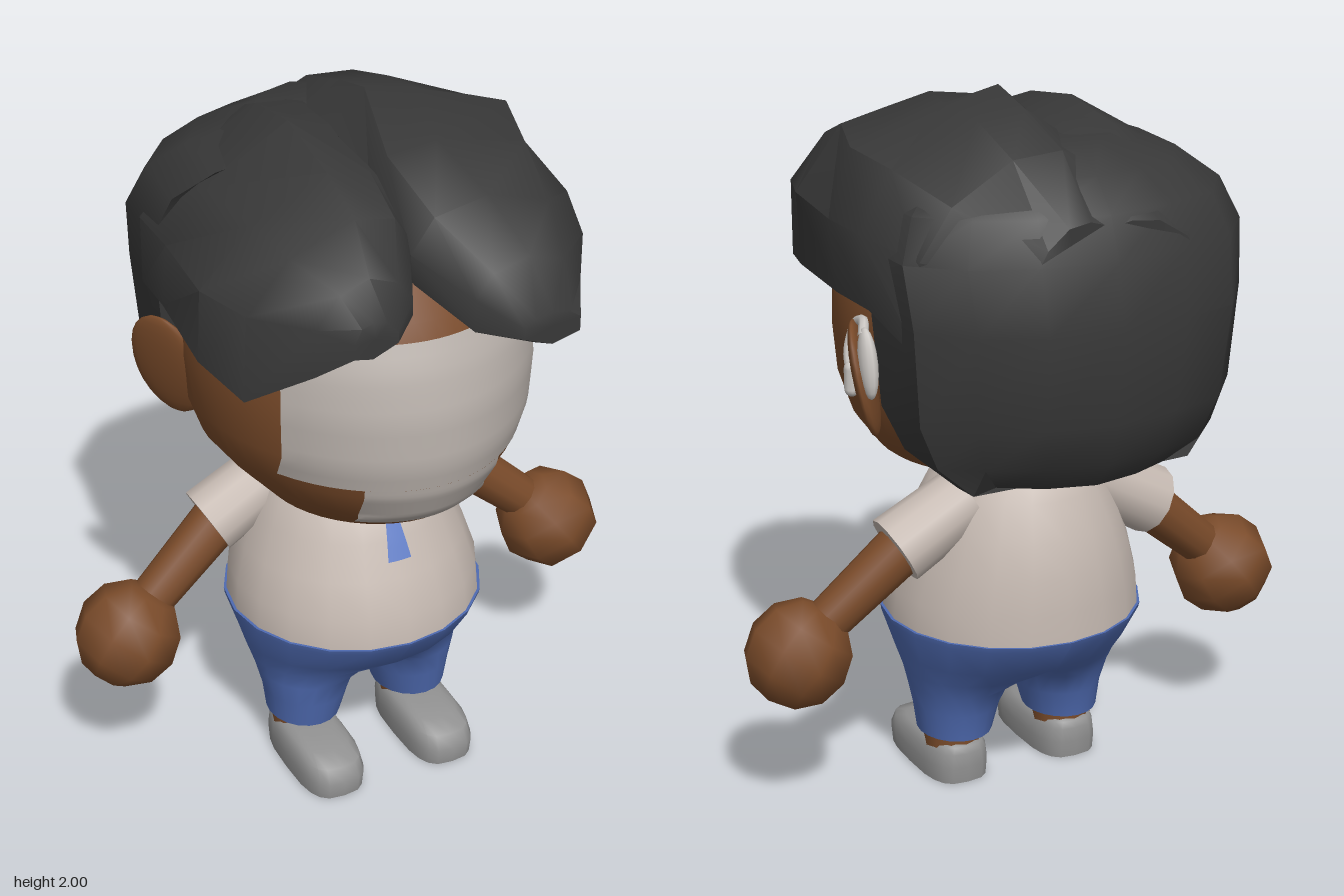
import * as THREE from 'three';
import { toCreasedNormals } from 'three/addons/utils/BufferGeometryUtils.js';

const mat = (name, color) => Object.assign(new THREE.MeshStandardMaterial({ color }), { name });
const V = (x, y, z) => new THREE.Vector3(x, y, z);

// Closed solid through rings of equal point count; turned outward by its volume
function loft(rings, crease = 0.9) {
  const n = rings[0].length, pos = [], idx = [];
  rings.forEach(r => r.forEach(p => pos.push(p.x, p.y, p.z)));
  const P = i => V(pos[3 * i], pos[3 * i + 1], pos[3 * i + 2]);
  for (let j = 0; j < rings.length - 1; j++) {
    for (let i = 0; i < n; i++) {
      const a = j * n + i, b = j * n + (i + 1) % n;
      idx.push(a, b, b + n, a, b + n, a + n);
    }
  }
  [0, rings.length - 1].forEach((j, end) => {
    const c = rings[j].reduce((s, p) => s.add(p), V(0, 0, 0)).divideScalar(n);
    const k = pos.length / 3;
    pos.push(c.x, c.y, c.z);
    for (let i = 0; i < n; i++) {
      const a = j * n + i, b = j * n + (i + 1) % n;
      if (end) idx.push(a, b, k); else idx.push(b, a, k);
    }
  });
  let volume = 0;
  for (let i = 0; i < idx.length; i += 3) {
    volume += P(idx[i]).dot(P(idx[i + 1]).cross(P(idx[i + 2])));
  }
  if (volume < 0) idx.reverse();
  const g = new THREE.BufferGeometry();
  g.setAttribute('position', new THREE.Float32BufferAttribute(pos, 3));
  g.setIndex(idx);
  return toCreasedNormals(g, crease);
}

// Rounded horizontal ring from a row [y, half width, front z, back z, centre x]
function ring([y, rx, zf, zb, cx = 0], n, power = 2, zc = (zf + zb) / 2) {
  return Array.from({ length: n }, (_, i) => {
    const t = i / n * Math.PI * 2, c = Math.cos(t), s = Math.sin(t);
    const f = v => Math.sign(v) * Math.abs(v) ** (2 / power);
    return V(cx + rx * f(c), y, zc + (s > 0 ? zf - zc : zc - zb) * f(s));
  });
}
const stack = (rows, n, power) => loft(rows.map(r => ring(r, n, power)));

// Row at any height, and front depth of the surface at (x, y)
function rowAt(rows, y) {
  const i = Math.max(1, rows.findIndex(r => r[0] >= y));
  const a = rows[i - 1], b = rows[i], t = (y - a[0]) / (b[0] - a[0]);
  return a.map((v, k) => v + (b[k] - v) * t);
}
function frontZ(rows, x, y, power, zc) {
  const [, rx, zf, zb] = rowAt(rows, y), c = zc ?? (zf + zb) / 2;
  return c + (zf - c) * Math.max(0, 1 - Math.abs(x / rx) ** power) ** (1 / power);
}
// Thin painted panel hugging a front surface; half width may change with height
function panel(y0, y1, halfWidth, depth, nx = 24, ny = 12) {
  const g = new THREE.PlaneGeometry(1, 1, nx, ny), p = g.attributes.position;
  for (let i = 0; i < p.count; i++) {
    const v = p.getY(i) + 0.5, y = y0 + (y1 - y0) * v;
    const x = p.getX(i) * 2 * halfWidth(v);
    p.setXYZ(i, x, y, depth(x, y) + 0.008);
  }
  g.computeVertexNormals();
  return g;
}
// Tapered limb between two points
function limb(a, b, ra, rb, n = 12) {
  const d = b.clone().sub(a), g = new THREE.CylinderGeometry(rb, ra, d.length(), n);
  g.applyQuaternion(new THREE.Quaternion().setFromUnitVectors(V(0, 1, 0), d.clone().normalize()));
  return g.translate((a.x + b.x) / 2, (a.y + b.y) / 2, (a.z + b.z) / 2);
}

const HEAD = [
  [0.90, 0.12, 0.28, 0.04], [0.92, 0.22, 0.34, -0.08], [0.96, 0.30, 0.42, -0.20],
  [1.02, 0.37, 0.48, -0.34], [1.10, 0.43, 0.52, -0.41], [1.20, 0.465, 0.542, -0.45],
  [1.34, 0.48, 0.54, -0.48], [1.46, 0.48, 0.515, -0.48], [1.58, 0.45, 0.465, -0.45],
  [1.68, 0.38, 0.39, -0.38], [1.76, 0.24, 0.25, -0.24],
];
const SHIRT = [
  [0.516, 0.362, 0.36, -0.36], [0.60, 0.355, 0.352, -0.358], [0.70, 0.325, 0.31, -0.348],
  [0.80, 0.288, 0.265, -0.325], [0.90, 0.24, 0.215, -0.285], [0.95, 0.19, 0.15, -0.26],
  [0.98, 0.12, 0.06, -0.2],
];
// Trouser half rows: y, outer x, middle x, inner x, front z, back z
const TROUSERS = [
  [0.14, 0.275, 0.17, 0.065, 0.14, -0.1], [0.22, 0.285, 0.165, 0.042, 0.158, -0.115],
  [0.29, 0.302, 0.15, 0.015, 0.175, -0.145], [0.34, 0.318, 0.08, 0, 0.205, -0.195],
  [0.40, 0.338, 0, 0, 0.285, -0.28], [0.50, 0.368, 0, 0, 0.36, -0.36], [0.516, 0.37, 0, 0, 0.367, -0.367],
];
// Hair sections: z, then outline from the parting over the top to the outer edge
const LEFT_HAIR = [
  [0.625, [.17, 1.56], [.17, 1.59], [.2, 1.61], [.25, 1.62], [.3, 1.61], [.33, 1.59], [.33, 1.55], [.25, 1.53]],
  [0.55, [.07, 1.57], [.07, 1.66], [.12, 1.72], [.22, 1.75], [.32, 1.72], [.37, 1.65], [.37, 1.52], [.24, 1.5]],
  [0.40, [-.03, 1.66], [-.035, 1.74], [.03, 1.83], [.18, 1.86], [.36, 1.81], [.465, 1.69], [.465, 1.48], [.22, 1.51]],
  [0.20, [-.05, 1.7], [-.05, 1.84], [0, 1.92], [.14, 1.94], [.4, 1.88], [.535, 1.71], [.525, 1.51], [.2, 1.53]],
  [-0.05, [-.05, 1.7], [-.05, 1.9], [.06, 2], [.22, 1.965], [.485, 1.88], [.55, 1.7], [.53, 1.5], [.2, 1.55]],
  [-0.20, [-.05, 1.7], [-.05, 1.89], [.06, 1.965], [.2, 1.95], [.44, 1.85], [.53, 1.69], [.51, 1.49], [.2, 1.55]],
  [-0.40, [-.05, 1.6], [-.05, 1.85], [.06, 1.9], [.2, 1.89], [.37, 1.79], [.46, 1.66], [.46, 1.4], [.2, 1.5]],
  [-0.55, [-.04, 1.6], [-.04, 1.72], [.06, 1.75], [.12, 1.74], [.18, 1.69], [.22, 1.62], [.22, 1.5], [.15, 1.5]],
];
const RIGHT_HAIR = [
  [0.56, [-.15, 1.6], [-.15, 1.63], [-.18, 1.66], [-.22, 1.67], [-.25, 1.66], [-.27, 1.62], [-.27, 1.58], [-.22, 1.57]],
  [0.50, [-.08, 1.63], [-.08, 1.67], [-.12, 1.73], [-.2, 1.76], [-.28, 1.73], [-.345, 1.65], [-.35, 1.52], [-.24, 1.57]],
  [0.36, [-.01, 1.69], [-.02, 1.77], [-.06, 1.83], [-.17, 1.85], [-.35, 1.78], [-.47, 1.65], [-.48, 1.41], [-.24, 1.56]],
  [0.20, [.05, 1.7], [.04, 1.82], [-.05, 1.89], [-.17, 1.91], [-.38, 1.81], [-.525, 1.66], [-.535, 1.46], [-.2, 1.55]],
  [-0.05, [.05, 1.7], [.05, 1.88], [-.06, 1.92], [-.16, 1.95], [-.4, 1.81], [-.51, 1.67], [-.525, 1.5], [-.2, 1.55]],
  [-0.25, [.05, 1.7], [.05, 1.88], [-.06, 1.91], [-.16, 1.92], [-.39, 1.8], [-.5, 1.66], [-.5, 1.47], [-.2, 1.55]],
  [-0.45, [.05, 1.6], [.05, 1.82], [-.06, 1.84], [-.16, 1.83], [-.34, 1.74], [-.43, 1.62], [-.43, 1.4], [-.2, 1.5]],
  [-0.55, [.05, 1.6], [.05, 1.72], [-.06, 1.74], [-.14, 1.73], [-.22, 1.68], [-.27, 1.6], [-.27, 1.5], [-.2, 1.5]],
];
// Back hair rows: y, front edge z, half width, back z
const BACK_HAIR = [
  [1.02, -0.34, 0.33, -0.49], [1.10, -0.21, 0.42, -0.56], [1.22, -0.18, 0.47, -0.595],
  [1.48, -0.17, 0.49, -0.628], [1.65, -0.15, 0.505, -0.59], [1.76, -0.12, 0.46, -0.545],
  [1.84, -0.06, 0.36, -0.47], [1.90, 0, 0.18, -0.38],
];

export function createModel() {
  const model = new THREE.Group();
  model.name = 'child';
  const skin = mat('brown skin', 0x7a4b2a), hair = mat('black hair', 0x383838);
  const cloth = mat('pale shirt', 0xc6bab2), blue = mat('blue trousers', 0x4f6bb2);
  const tieBlue = mat('blue tie', 0x6480c8), grey = mat('grey shoes', 0x929292);
  const face = mat('pale face', 0xbab2ac), plastic = mat('pale plastic', 0xcac6c2);
  face.side = tieBlue.side = THREE.DoubleSide;
  const add = (name, geometry, material) => {
    const m = new THREE.Mesh(geometry, material);
    m.name = name;
    model.add(m);
    return m;
  };

  // Head with the face panel in two pieces
  add('head', loft(HEAD.map(r => ring(r, 48, 1.9, r[0] < 1 ? undefined : 0))), skin);
  const headZ = (x, y) => frontZ(HEAD, x, y, 1.9, y < 1.02 ? undefined : 0);
  add('upperFace', panel(1.13, 1.54, v => 0.37 - 0.015 * Math.abs(v - 0.5), headZ), face);
  add('lowerFace', panel(0.985, 1.13, v => 0.185 + 0.012 * v, headZ), face);

  // Hair: two parted lobes and the back, which is fuller on its right corner
  const lobe = rows => loft(rows.map(([z, ...pts]) => pts.map(([x, y]) => V(x, y, z))), 0.7);
  add('leftHair', lobe(LEFT_HAIR), hair);
  add('rightHair', lobe(RIGHT_HAIR), hair);
  add('backHair', loft(BACK_HAIR.map(([y, zf, w, zb]) => {
    const half = (s, corner) => [[w, zf], [w * 0.975, (zf + zb) / 2], [w * 0.73, zb + corner],
      [w * 0.4, zb + corner * 0.35]].map(([x, z]) => V(s * x, y, z));
    return [...half(1, 0.105), V(0, y, zb), ...half(-1, 0.07).reverse()];
  }), 0.7), hair);

  // Shirt and tie
  add('shirt', stack(SHIRT, 20), cloth);
  const shirtZ = (x, y) => frontZ(SHIRT, x, y, 2) + 0.002;
  add('tieKnot', panel(0.855, 0.90, v => 0.018 + 0.016 * v, shirtZ, 4, 4), tieBlue);
  add('tieBlade', panel(0.752, 0.855, v => 0.035 - 0.015 * v, shirtZ, 4, 6), tieBlue);

  for (const s of [1, -1]) {
    const side = s > 0 ? 'left' : 'right';
    // Ear
    const ear = add(side + 'Ear', new THREE.SphereGeometry(1, 16, 12), skin);
    ear.scale.set(0.026, 0.16, 0.12);
    ear.position.set(s * 0.49, 1.28, -0.12);
    ear.rotation.set(0, -s * 0.5, -s * 0.2);
    // Arm
    add(side + 'Sleeve', limb(V(s * 0.19, 0.885, -0.1), V(s * 0.4, 0.768, -0.097), 0.092, 0.1), cloth);
    add(side + 'Arm', limb(V(s * 0.34, 0.8, -0.095), V(s * 0.62, 0.56, -0.06), 0.075, 0.062), skin);
    const fist = add(side + 'Fist', new THREE.SphereGeometry(0.152, 8, 6), skin);
    fist.position.set(s * 0.672, 0.5, -0.05);
    fist.rotation.z = s * 0.65;
    // Half of the trousers, meeting its twin at the middle above the crotch
    add(side + 'Trousers', loft(TROUSERS.map(([y, xo, xc, xi, zf, zb]) =>
      Array.from({ length: 20 }, (_, i) => {
        const t = i / 20 * Math.PI * 2, c = Math.cos(t), k = Math.sin(t);
        const x = xc + c * (c > 0 ? xo - xc : xc - xi);
        return V(s * x, y, (zf + zb) / 2 + k * (zf - zb) / 2);
      }))), blue);
    // Ankle and shoe
    add(side + 'Ankle', limb(V(s * 0.175, 0.08, 0.015), V(s * 0.175, 0.16, 0.015), 0.085, 0.085), skin);
    add(side + 'Shoe', stack([[0, 0.093, 0.305, -0.08, s * 0.175], [0.05, 0.096, 0.312, -0.085, s * 0.175],
      [0.09, 0.09, 0.29, -0.082, s * 0.175], [0.11, 0.078, 0.23, -0.075, s * 0.175],
      [0.12, 0.06, 0.16, -0.06, s * 0.175]], 20, 3.2), grey);
  }

  // Hearing aid on the left ear
  const hook = new THREE.CatmullRomCurve3([V(0.515, 1.28, -0.095), V(0.51, 1.34, -0.065), V(0.49, 1.41, -0.065),
    V(0.495, 1.44, -0.13), V(0.525, 1.42, -0.195)]);
  add('hearingAidTube', new THREE.TubeGeometry(hook, 24, 0.014, 8), plastic);
  const plug = add('hearingAidPlug', new THREE.CapsuleGeometry(0.021, 0.055, 4, 10), plastic);
  plug.position.set(0.515, 1.275, -0.095);
  const body = add('hearingAidBody', new THREE.SphereGeometry(1, 12, 10), plastic);
  body.scale.set(0.024, 0.095, 0.036);
  body.position.set(0.518, 1.35, -0.207);
  body.rotation.x = 0.2;
  return model;
}
